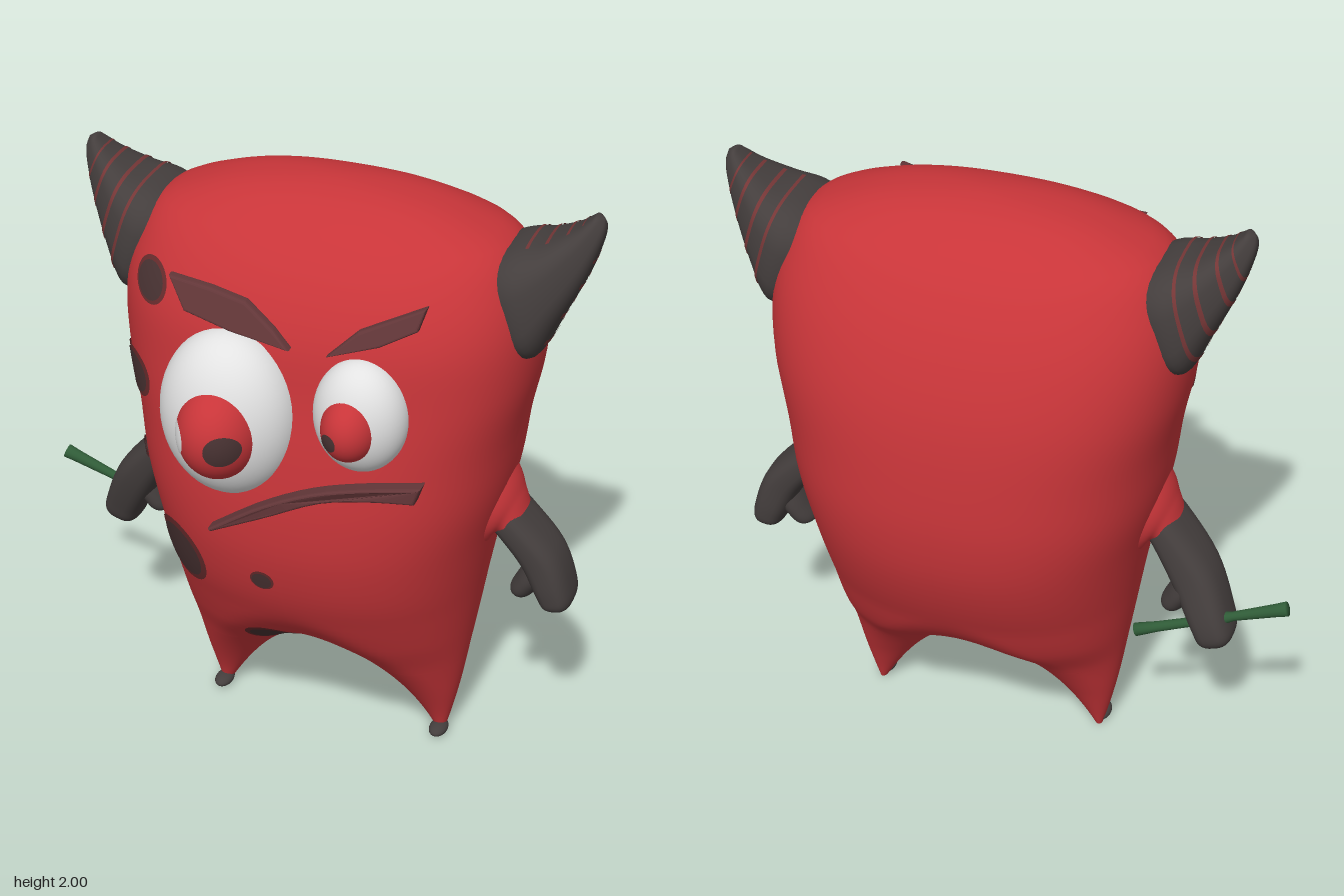
import * as THREE from 'three';
import { mergeVertices } from 'three/addons/utils/BufferGeometryUtils.js';

const CX = 0.1, CZ = -0.08;          // body axis
const CROTCH = 0.34, ARCH = 2.35;    // arch between the legs
const POWER = 2.4;                   // squareness of the body seen from above

// Body profile: height, half width, front depth, back depth
const PROFILE = [
  [2, 0, 0, 0], [1.97, 0.31, 0.15, 0.15], [1.925, 0.455, 0.23, 0.23], [1.88, 0.555, 0.29, 0.29],
  [1.77, 0.63, 0.385, 0.38], [1.63, 0.665, 0.45, 0.455], [1.45, 0.66, 0.48, 0.515],
  [1.24, 0.62, 0.515, 0.545], [1.05, 0.595, 0.53, 0.55], [0.87, 0.555, 0.515, 0.52],
  [0.67, 0.52, 0.45, 0.44], [0.5, 0.495, 0.34, 0.335], [0.36, 0.475, 0.225, 0.205],
  [0.2, 0.45, 0.115, 0.105], [0.08, 0.425, 0.05, 0.05], [0, 0.405, 0.02, 0.02],
];
const profile = new THREE.CubicInterpolant(
  PROFILE.map(p => Math.sqrt(2 - p[0])), PROFILE.flatMap(p => p.slice(1)), 3);

// One horizontal slice: widths, depths and fullness (0..1) across x
function slice(y) {
  const [w, front, back] = Array.from(profile.evaluate(Math.sqrt(Math.max(0, 2 - y))));
  const raw = x => {
    const u = w > 0 ? Math.min(1, Math.abs(x) / w) : 1;
    const d = THREE.MathUtils.clamp((y - CROTCH + ARCH * x * x) / 0.32, 0, 1);
    return (1 - u ** POWER) ** (1 / POWER) * Math.sqrt(1 - (1 - d) ** 2);
  };
  const inner = Math.sqrt(Math.max(0, CROTCH - y) / ARCH);
  let peak = 1e-6;
  for (let i = 0; i <= 40; i++) peak = Math.max(peak, raw(inner + (w - inner) * i / 40));
  return { w, front, back, inner, full: x => raw(x) / peak };
}

function geometry(pos, idx) {
  const g = new THREE.BufferGeometry();
  g.setAttribute('position', new THREE.Float32BufferAttribute(pos, 3));
  g.setIndex(idx);
  const m = mergeVertices(g, 1e-5);
  m.computeVertexNormals();
  return m;
}

// Grid of quads with `cols` points in each of `rows` rows
function gridIndex(idx, start, rows, cols, flip = false) {
  for (let i = 0; i < rows - 1; i++) for (let j = 0; j < cols - 1; j++) {
    const a = start + i * cols + j, b = a + 1, c = b + cols, d = a + cols;
    if (flip) idx.push(a, c, b, a, d, c);
    else idx.push(a, b, c, a, c, d);
  }
}

// Body and legs: slices of each half, mirrored and welded
function bodyGeometry() {
  const ys = [], pos = [], idx = [], M = 32;
  for (let i = 0; i < 28; i++) ys.push(CROTCH * Math.sin(i / 28 * Math.PI / 2));
  for (let i = 0; i <= 64; i++) ys.push(CROTCH + (2 - CROTCH) * (1 - Math.cos(i / 64 * Math.PI)) / 2);
  for (const side of [1, -1]) {
    const start = pos.length / 3;
    for (const y of ys) {
      const s = slice(y);
      for (let j = 0; j <= 2 * M; j++) {
        const t = j <= M ? j / M : 2 - j / M;
        const x = s.inner + (s.w - s.inner) * (1 - Math.cos(t * Math.PI)) / 2;
        const f = t === 1 ? 0 : s.full(x);
        pos.push(CX + side * x, y, CZ + (j <= M ? s.front : -s.back) * f);
      }
    }
    gridIndex(idx, start, ys.length, 2 * M + 1, side < 0);
  }
  return geometry(pos, idx);
}

// Loft through sections [outer x, outer y, inner x, inner y, half depth, z], x measured from the body axis
function loft(sections, side, { t0 = 0, t1 = sections.length - 1, a0 = 0, a1 = 2 * Math.PI, grow = 1, rows = 30, power = 2 } = {}) {
  const curve = new THREE.CubicInterpolant(sections.map((_, i) => i), sections.flat(), 6);
  const pos = [], idx = [], N = 32;
  const se = v => Math.sign(v) * Math.abs(v) ** (2 / power);
  for (let i = 0; i <= rows; i++) {
    const [ox, oy, ix, iy, h, z] = curve.evaluate(t0 + (t1 - t0) * i / rows);
    for (let j = 0; j <= N; j++) {
      const a = a0 + (a1 - a0) * j / N, c = se(Math.cos(a)) * grow, s = se(Math.sin(a)) * grow;
      pos.push(CX + side * ((ox + ix) / 2 + (ox - ix) / 2 * c), (oy + iy) / 2 + (oy - iy) / 2 * c, z + side * h * s);
    }
  }
  gridIndex(idx, 0, rows + 1, N + 1);
  return geometry(pos, idx);
}

// Painted oval laid on a surface given by place(x, y) -> [x, y, z]
function patch(place, cx, cy, rx, ry, turn = 0) {
  const pos = [], idx = [], R = 8, N = 32;
  for (let i = 0; i <= R; i++) for (let j = 0; j <= N; j++) {
    const a = j / N * 2 * Math.PI, u = rx * i / R * Math.cos(a), v = ry * i / R * Math.sin(a);
    pos.push(...place(cx + u * Math.cos(turn) - v * Math.sin(turn), cy + u * Math.sin(turn) + v * Math.cos(turn)));
  }
  gridIndex(idx, 0, R + 1, N + 1, true);
  return geometry(pos, idx);
}

// Flat outline given thickness and laid along z = depth(x, y)
function plate(points, depth, thick) {
  const shape = new THREE.Shape(points.map(p => new THREE.Vector2(...p)));
  const g = new THREE.ExtrudeGeometry(shape, {
    depth: thick, bevelEnabled: true, bevelThickness: 0.01, bevelSize: 0.008, bevelOffset: -0.008, bevelSegments: 3 });
  const p = g.attributes.position;
  for (let i = 0; i < p.count; i++) p.setZ(i, p.getZ(i) - thick / 2 + depth(p.getX(i), p.getY(i)));
  g.computeVertexNormals();
  return g;
}

// Unit dome facing +z with a nearly flat back
function domeGeometry() {
  const g = new THREE.SphereGeometry(1, 48, 32).rotateX(Math.PI / 2);
  const p = g.attributes.position;
  for (let i = 0; i < p.count; i++) if (p.getZ(i) < 0) p.setZ(i, p.getZ(i) * 0.03);
  return g;
}

export function createModel() {
  const group = new THREE.Group();
  const mat = (name, color, side = THREE.FrontSide) => {
    const m = new THREE.MeshStandardMaterial({ color, side });
    m.name = name;
    return m;
  };
  const red = mat('red skin', 0xc83539), dark = mat('charcoal', 0x443e3d);
  const white = mat('eye white', 0xe2e2e2, THREE.DoubleSide), brown = mat('brow brown', 0x623638);
  const spotRim = mat('spot rim', 0x682c2d, THREE.DoubleSide), spotDark = mat('spot dark', 0x483232, THREE.DoubleSide);
  const stripe = mat('horn stripe', 0x753636, THREE.DoubleSide), green = mat('stick green', 0x305c38);
  const add = (name, geo, material) => {
    const m = new THREE.Mesh(geo, material);
    m.name = name;
    group.add(m);
    return m;
  };
  const ball = (name, geo, material, x, y, z, rx, ry, rz) => {
    const m = add(name, geo, material);
    m.position.set(x, y, z);
    m.scale.set(rx, ry, rz);
  };
  const sphere = new THREE.SphereGeometry(1, 40, 28), dome = domeGeometry();

  add('body', bodyGeometry(), red);

  const horn = [
    [0.485, 1.84, 0.59, 1.545, 0.18, -0.085], [0.575, 1.882, 0.675, 1.54, 0.203, -0.085],
    [0.66, 1.905, 0.735, 1.66, 0.165, -0.085], [0.745, 1.95, 0.798, 1.8, 0.097, -0.085],
    [0.79, 1.985, 0.83, 1.9, 0.055, -0.085], [0.81, 2.0, 0.84, 1.955, 0.03, -0.085],
    [0.834, 1.99, 0.834, 1.99, 0, -0.085]];
  const shoulder = [
    [0.5, 1.2, 0.47, 0.72, 0.21, -0.085], [0.598, 1.07, 0.535, 0.81, 0.145, -0.085],
    [0.632, 0.995, 0.55, 0.85, 0.112, -0.085], [0.65, 0.945, 0.56, 0.87, 0.102, -0.085]];
  const arms = {
    1: [[0.6, 0.985, 0.52, 0.9, 0.1, -0.085], [0.65, 0.938, 0.56, 0.87, 0.104, -0.085],
      [0.765, 0.815, 0.645, 0.765, 0.1, -0.085], [0.815, 0.69, 0.7, 0.66, 0.098, -0.085],
      [0.818, 0.625, 0.73, 0.612, 0.08, -0.085], [0.78, 0.6, 0.78, 0.6, 0, -0.085]],
    [-1]: [[0.6, 0.985, 0.52, 0.9, 0.1, -0.085], [0.655, 0.938, 0.56, 0.87, 0.102, -0.09],
      [0.775, 0.8, 0.645, 0.73, 0.1, -0.12], [0.845, 0.65, 0.72, 0.6, 0.095, -0.16],
      [0.86, 0.575, 0.755, 0.54, 0.075, -0.17], [0.81, 0.52, 0.81, 0.52, 0, -0.17]],
  };
  const thumb = [
    [0.77, 0.75, 0.67, 0.78, 0.08, 0], [0.71, 0.665, 0.635, 0.705, 0.075, 0],
    [0.675, 0.622, 0.61, 0.645, 0.055, 0], [0.63, 0.612, 0.63, 0.612, 0, 0]];

  for (const side of [1, -1]) {
    const label = side > 0 ? 'left' : 'right';
    add(label + 'Horn', loft(horn, side, { power: 2.9 }), dark);
    // The left horn is striped only over its back and outer side
    const range = side > 0 ? { a0: -3.7, a1: 0.3 } : {};
    for (const t of [1.5, 2.15, 2.8, 3.5])
      add(label + 'HornStripe', loft(horn, side, { power: 2.9, t0: t, t1: t + 0.12, grow: 1.02, rows: 2, ...range }), stripe);
    add(label + 'Shoulder', loft(shoulder, side), red);
    add(label + 'Arm', loft(arms[side], side, { power: 2.8 }), dark);
    const z = side > 0 ? -0.085 : -0.14;
    add(label + 'Thumb', loft(thumb.map(s => [...s.slice(0, 5), z]), side), dark);
    ball(label + 'Foot', sphere, dark, CX + side * 0.393, 0.02, -0.048, 0.031, 0.02, 0.05);
  }

  // Eyes: white dome, raised iris, pupil painted on the iris
  const eye = (name, outer, iris, marks) => {
    ball(name + 'White', dome, white, ...outer);
    const [ix, iy, iz, ax, ay, az] = iris;
    ball(name + 'Iris', sphere, red, ...iris);
    const place = (px, py) => {
      const r = Math.min(1, ((px - ix) / ax) ** 2 + ((py - iy) / ay) ** 2);
      return [px, py, iz + az * Math.sqrt(1 - r) + 0.005];
    };
    for (const [part, material, ...oval] of marks) add(name + part, patch(place, ...oval), material);
  };
  eye('rightEye', [-0.077, 1.378, 0.37, 0.222, 0.277, 0.183], [-0.07, 1.37, 0.47, 0.13, 0.157, 0.153],
    [['Pupil', spotDark, -0.012, 1.37, 0.05, 0.05], ['Glint', white, -0.172, 1.37, 0.034, 0.05]]);
  eye('leftEye', [0.345, 1.45, 0.37, 0.148, 0.185, 0.125], [0.335, 1.443, 0.44, 0.087, 0.106, 0.106],
    [['Pupil', spotDark, 0.3, 1.432, 0.027, 0.029]]);

  // Brows leaning back with the forehead, and crooked mouth
  add('rightBrow', plate([[-0.295, 1.772], [-0.23, 1.683], [-0.07, 1.658], [0.13, 1.645], [0.07, 1.692], [-0.03, 1.75], [-0.15, 1.765]],
    (x, y) => 0.39 + 0.12 * x - 0.4 * (y - 1.645), 0.015), brown);
  add('leftBrow', plate([[0.245, 1.645], [0.4, 1.69], [0.505, 1.745], [0.523, 1.812], [0.33, 1.725]],
    (x, y) => 0.4 - 0.1 * (x - 0.245) - 0.4 * (y - 1.645), 0.015), brown);
  const top = new THREE.SplineCurve([[-0.108, 1.015], [0.06, 1.13], [0.22, 1.205], [0.38, 1.24], [0.548, 1.252]].map(p => new THREE.Vector2(...p)));
  const low = new THREE.SplineCurve([[0.53, 1.195], [0.4, 1.197], [0.25, 1.175], [0.08, 1.095], [-0.1, 1.006]].map(p => new THREE.Vector2(...p)));
  add('mouth', plate([...top.getPoints(14), ...low.getPoints(14)].map(p => [p.x, p.y]),
    x => 0.475 - 0.3 * Math.max(0, x) ** 2, 0.035), brown);

  // Skin spots following the belly
  const skin = lift => (x, y) => {
    const s = slice(y), lx = THREE.MathUtils.clamp(x - CX, -s.w, s.w);
    return [CX + lx * (1 + lift), y, CZ + s.front * s.full(lx) * (1 + lift) + lift * 0.3];
  };
  for (const [x, y, rx, ry, turn] of [
    [-0.385, 1.7, 0.066, 0.066, 0], [-0.455, 1.365, 0.08, 0.078, 0], [-0.435, 1.08, 0.03, 0.025, 0],
    [-0.27, 0.795, 0.098, 0.122, 0.4], [0.042, 0.812, 0.04, 0.038, 0], [-0.022, 0.41, 0.087, 0.092, 0.3]]) {
    add('spotRim', patch(skin(0.006), x, y, rx, ry, turn), spotRim);
    add('spot', patch(skin(0.01), x, y, rx * 0.82, ry * 0.82, turn), spotDark);
  }

  // Stick held in the right hand
  const from = new THREE.Vector3(-0.93, 0.73, -0.185), to = new THREE.Vector3(-0.445, 0.54, -0.21);
  const dir = to.clone().sub(from), len = dir.length();
  const outline = [[0, 0], [0.024, 0], [0.021, 0.08], [0.015, 0.35], [0.024, 0.45], [0.015, 0.55], [0.017, 0.85], [0.022, 1], [0, 1]];
  const stick = add('stick', new THREE.LatheGeometry(outline.map(([r, t]) => new THREE.Vector2(r, t * len)), 14), green);
  stick.position.copy(from);
  stick.quaternion.setFromUnitVectors(new THREE.Vector3(0, 1, 0), dir.normalize());

  return group;
}
